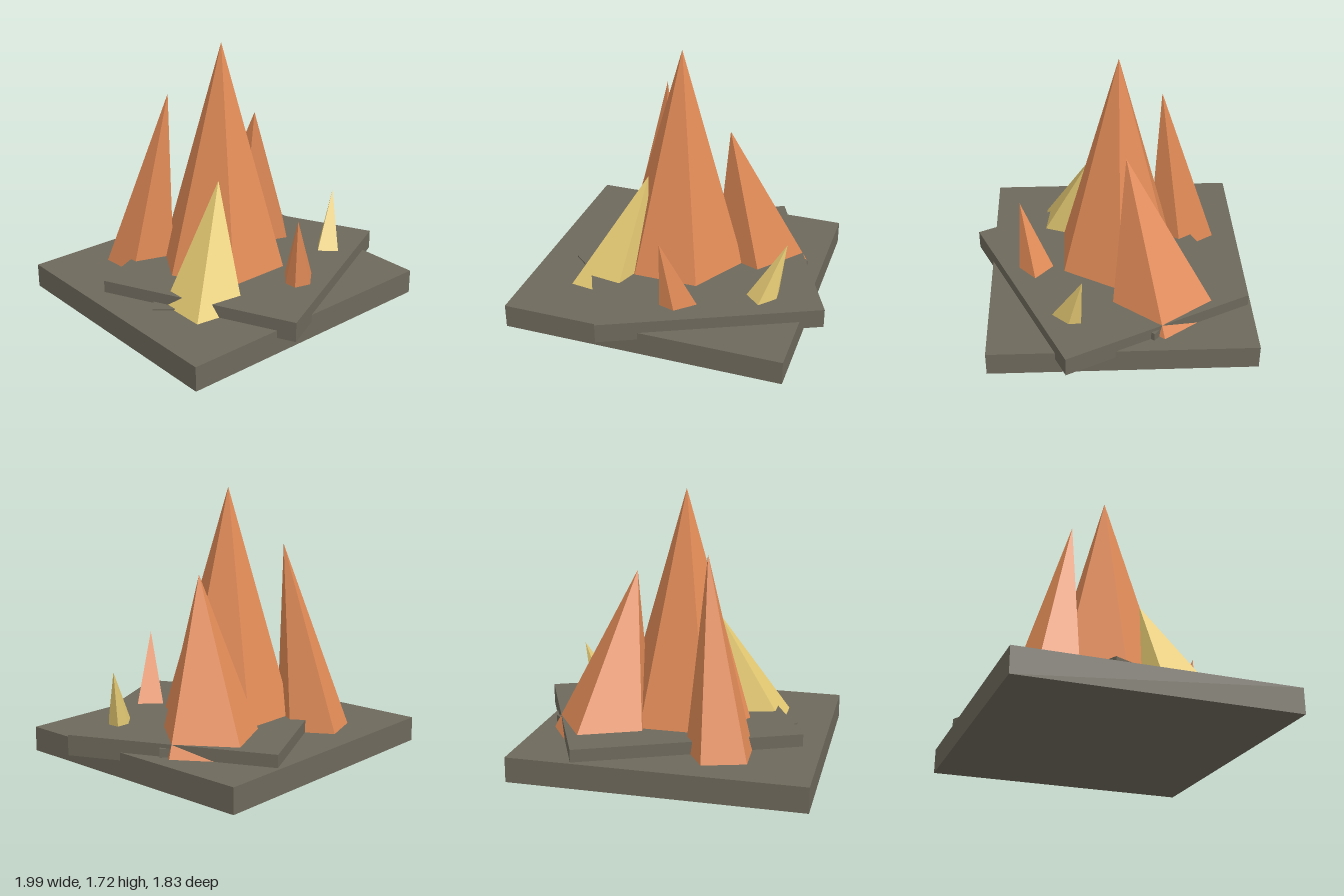
import * as THREE from 'three';

const paint = (name, color) => {
  const m = new THREE.MeshStandardMaterial({ color });
  m.name = name;
  return m;
};

// Leaning faceted spike: a point plus its outline [x, z] at a given level,
// continued down to a foot buried in the rock.
function crystalGeometry(apex, outline, level, foot = 0.13) {
  const tip = new THREE.Vector3(...apex);
  const grow = (tip.y - foot) / (tip.y - level);
  const ring = outline.map(([x, z]) => new THREE.Vector3(
    tip.x + (x - tip.x) * grow, foot, tip.z + (z - tip.z) * grow));
  // Order the ring so every side faces outward
  const area = ring.reduce((sum, p, i) => {
    const q = ring[(i + 1) % ring.length];
    return sum + p.x * q.z - q.x * p.z;
  }, 0);
  if (area > 0) ring.reverse();
  const points = [];
  ring.forEach((p, i) => {
    const q = ring[(i + 1) % ring.length];
    points.push(tip, p, q);
    if (i > 0 && i < ring.length - 1) points.push(ring[0], q, p);
  });
  const geometry = new THREE.BufferGeometry().setFromPoints(points);
  geometry.computeVertexNormals();
  return geometry;
}

export function createModel() {
  const model = new THREE.Group();
  model.name = 'crystalCluster';
  const stone = paint('stone grey', 0x6e695c);
  const orange = paint('crystal orange', 0xe08a56);
  const yellow = paint('crystal yellow', 0xe6cb74);

  const add = (name, geometry, material) => {
    const mesh = new THREE.Mesh(geometry, material);
    mesh.name = name;
    model.add(mesh);
    return mesh;
  };
  const slab = (name, [w, h, d], [x, y, z], turn = 0) => {
    const mesh = add(name, new THREE.BoxGeometry(w, h, d), stone);
    mesh.position.set(x, y, z);
    mesh.rotation.y = turn;
  };

  // Stone slabs, with two chips showing at the edge of the upper one
  slab('baseSlab', [1.85, 0.16, 1.72], [-0.075, 0.08, -0.06]);
  slab('upperSlab', [1.45, 0.13, 1.324], [0.0575, 0.175, 0.005], 0.434);
  slab('leftChip', [0.2, 0.07, 0.2], [-0.65, 0.135, 0.1], -0.71);
  slab('rightChip', [0.1, 0.09, 0.1], [0.69, 0.17, -0.255], -0.71);

  // Upright main crystal, six equal sides
  const hexagon = Array.from({ length: 6 }, (_, i) => {
    const a = i * Math.PI / 3;
    return [-0.075 + 0.428 * Math.cos(a), -0.065 + 0.428 * Math.sin(a)];
  });
  add('mainCrystal', crystalGeometry([-0.075, 1.72, -0.065], hexagon, 0.24), orange);

  // Leaning five-sided crystals around it
  add('rightCrystal', crystalGeometry([0.24, 1.19, -0.1],
    [[0.11, -0.48], [0.48, -0.65], [0.71, -0.31], [0.47, -0.01], [0.15, -0.12]], 0.24), orange);
  add('backCrystal', crystalGeometry([-0.28, 1.36, -0.36],
    [[-0.595, -0.67], [-0.33, -0.755], [-0.18, -0.51], [-0.31, -0.3], [-0.58, -0.39]], 0.16), orange);
  add('smallFrontCrystal', crystalGeometry([-0.01, 0.7, 0.59],
    [[-0.02, 0.5], [0.085, 0.38], [0.21, 0.5], [0.09, 0.61], [-0.015, 0.58]], 0.24), orange);
  add('leftYellowCrystal', crystalGeometry([-0.25, 0.89, 0.11],
    [[-0.69, 0.43], [-0.36, 0.475], [-0.25, 0.18], [-0.46, 0.035], [-0.69, 0.1]], 0.16), yellow);
  add('smallYellowCrystal', crystalGeometry([0.71, 0.6, 0.19],
    [[0.48, 0.29], [0.58, 0.385], [0.675, 0.28], [0.67, 0.2], [0.58, 0.2]], 0.24), yellow);

  return model;
}
